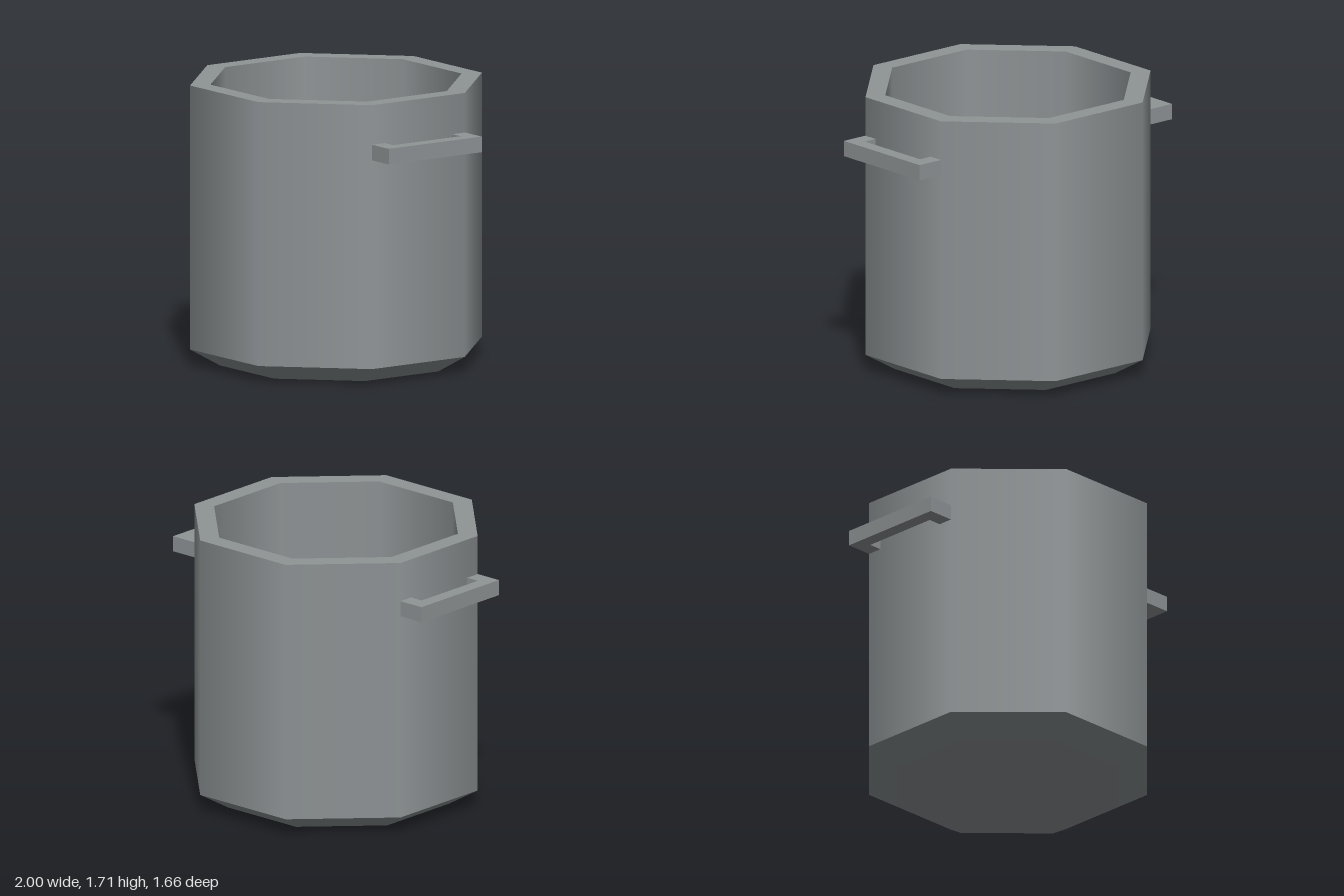
import * as THREE from 'three';

const steel = new THREE.MeshStandardMaterial({ color: 0x8f9496 });
steel.name = 'steel grey';

// Radius of an octagon's corners from the distance to its flat sides
const corner = (flat) => flat / Math.cos(Math.PI / 8);

// One eight-sided band between two profile points: smooth around, sharp at its ends
function band(name, [r0, y0], [r1, y1]) {
  const points = [new THREE.Vector2(corner(r0), y0), new THREE.Vector2(corner(r1), y1)];
  const mesh = new THREE.Mesh(new THREE.LatheGeometry(points, 8, Math.PI / 8), steel);
  mesh.name = name;
  return mesh;
}

// C-shaped grip lying flat, open toward the pot wall
function handle(name) {
  const outline = [[0.83, -0.345], [1, -0.345], [1, 0.345], [0.83, 0.345],
    [0.83, 0.25], [0.915, 0.25], [0.915, -0.25], [0.83, -0.25]];
  const shape = new THREE.Shape(outline.map(([x, z]) => new THREE.Vector2(x, z)));
  const geometry = new THREE.ExtrudeGeometry(shape, { depth: 0.095, bevelEnabled: false });
  geometry.rotateX(-Math.PI / 2);
  const mesh = new THREE.Mesh(geometry, steel);
  mesh.name = name;
  mesh.position.y = 1.373;
  return mesh;
}

export function createModel() {
  const model = new THREE.Group();
  model.name = 'cookingPot';

  // Pot body, from the underside round the rim to the inner floor
  const profile = [[0, 0], [0.66, 0], [0.83, 0.105], [0.83, 1.708], [0.714, 1.708], [0.714, 0.105], [0, 0.105]];
  const names = ['underside', 'baseChamfer', 'outerWall', 'rim', 'innerWall', 'innerFloor'];
  const body = new THREE.Group();
  body.name = 'potBody';
  names.forEach((name, i) => body.add(band(name, profile[i], profile[i + 1])));
  model.add(body);

  // Handles on both sides
  const left = handle('leftHandle');
  const right = handle('rightHandle');
  right.rotation.y = Math.PI;
  model.add(left, right);

  return model;
}
